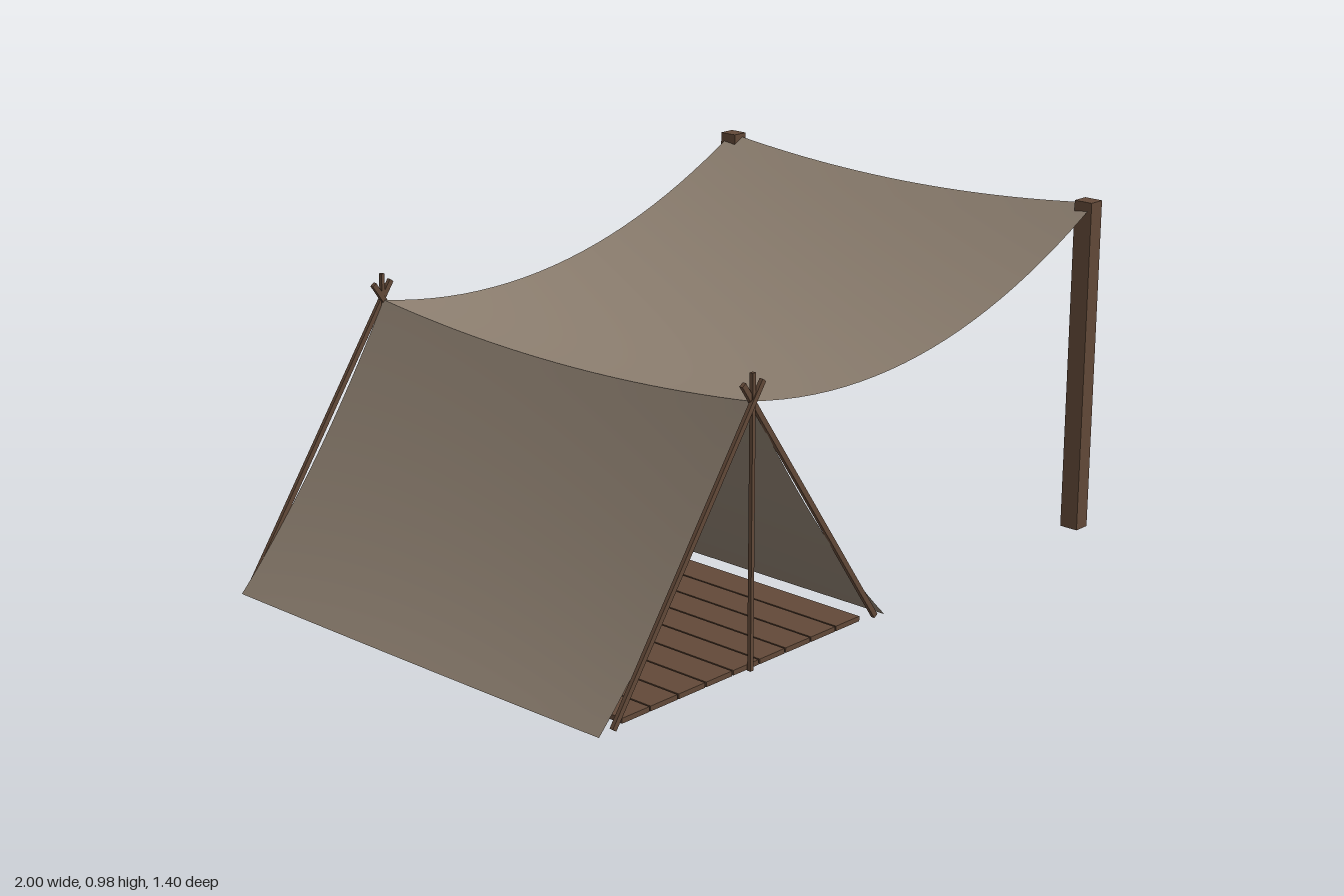
import * as THREE from 'three';

const HALF_Z = 0.685;   // half width of the cloth
const RIDGE_X = -0.46;  // where the tent poles cross
const RIDGE_Y = 0.725;

export function createModel() {
  const group = new THREE.Group();
  const cloth = new THREE.MeshStandardMaterial({ color: 0x8c7e6f, side: THREE.DoubleSide });
  cloth.name = 'taupe canvas';
  const wood = new THREE.MeshStandardMaterial({ color: 0x624938 });
  wood.name = 'brown wood';

  const box = (name, w, h, d, x, y, z) => {
    const mesh = new THREE.Mesh(new THREE.BoxGeometry(w, h, d), wood);
    mesh.name = name;
    mesh.position.set(x, y, z);
    group.add(mesh);
    return mesh;
  };

  // Cloth hung from the ridge to (x1, y1): sags along its run and across its width
  const sheet = (name, x1, y1, sag, endDip) => {
    const geo = new THREE.PlaneGeometry(1, 2, 24, 24).rotateX(-Math.PI / 2);
    const p = geo.attributes.position;
    for (let i = 0; i < p.count; i++) {
      const t = p.getX(i) + 0.5;
      const s = p.getZ(i);
      const dip = THREE.MathUtils.lerp(0.042, endDip, t) * (1 - s * s);
      const y = THREE.MathUtils.lerp(RIDGE_Y, y1, t) - 4 * sag * t * (1 - t) - dip;
      p.setXYZ(i, THREE.MathUtils.lerp(RIDGE_X, x1, t), y, s * HALF_Z);
    }
    geo.computeVertexNormals();
    const mesh = new THREE.Mesh(geo, cloth);
    mesh.name = name;
    group.add(mesh);
  };
  sheet('canopy', 0.985, 0.975, 0.143, 0.044);
  sheet('tentSideRight', -1, 0.002, 0.045, 0.002);
  sheet('tentSideLeft', 0.085, 0.002, 0.045, 0.002);

  // Square posts and the pole frames at both ends
  for (const side of [1, -1]) {
    box('canopyPost', 0.05, 0.97, 0.057, 0.975, 0.496, side * 0.669);
    box('uprightPole', 0.011, 0.79, 0.011, RIDGE_X, 0.405, side * 0.69);
    for (const lean of [1, -1]) {
      const foot = new THREE.Vector2(RIDGE_X - lean * 0.5, 0.012);
      const tip = new THREE.Vector2(RIDGE_X + lean * 0.034, 0.775);
      const pole = box('crossedPole', 0.015, foot.distanceTo(tip), 0.011,
        (foot.x + tip.x) / 2, (foot.y + tip.y) / 2, side * (0.69 + lean * 0.003));
      pole.rotation.z = -Math.atan2(tip.x - foot.x, tip.y - foot.y);
    }
  }

  // Floor: nine boards wide, in two rows meeting at the middle
  const boards = 9, pitch = 0.906 / boards;
  for (let i = 0; i < boards; i++) {
    for (const side of [1, -1]) {
      box('floorBoard', pitch - 0.005, 0.014, 0.676, -0.918 + pitch * (i + 0.5), 0.017, side * 0.342);
    }
  }
  return group;
}
